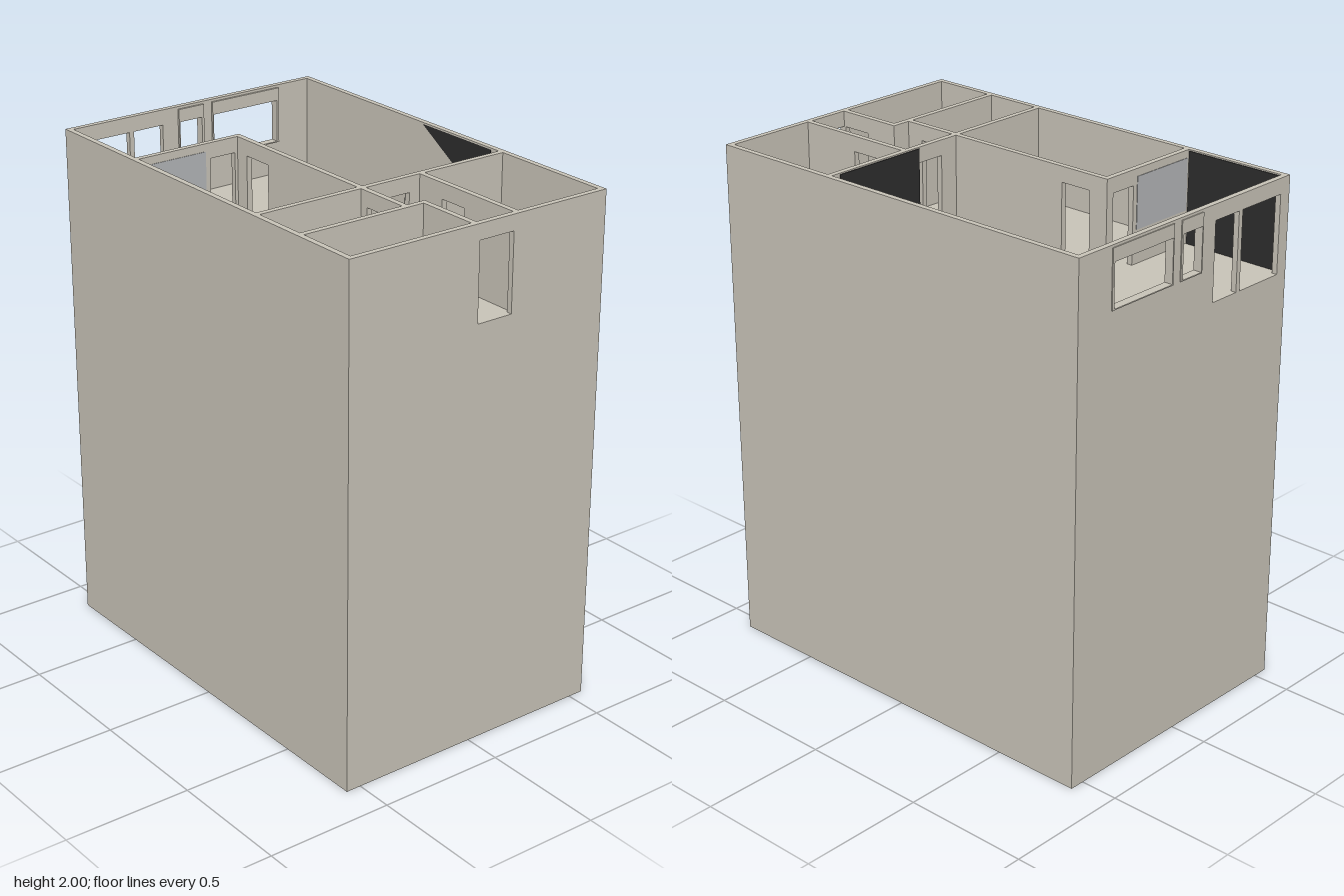
import * as THREE from 'three';

const FLOOR = 1.64, TOP = 2, HEAD = 1.94, SILL = 1.77, T = 0.022;

export function createModel() {
  const model = new THREE.Group();
  const stone = new THREE.MeshStandardMaterial({ color: 0xc9c4b8 });
  const dark = new THREE.MeshStandardMaterial({ color: 0x2d2d2d, side: THREE.DoubleSide });
  const grey = new THREE.MeshStandardMaterial({ color: 0xb4b6b8 });

  const add = (name, geometry, material) => {
    const mesh = new THREE.Mesh(geometry, material);
    mesh.name = name;
    model.add(mesh);
    return mesh;
  };

  // Upright slab along 'x' or 'z'; doors [a, b] notch its foot, windows [a, b, y0, y1] pierce it
  function wall(name, axis, from, to, near, { doors = [], windows = [], y0 = FLOOR, y1 = TOP, t = T, material = stone } = {}) {
    const shape = new THREE.Shape();
    shape.moveTo(from, y0);
    for (const [a, b] of doors) {
      shape.lineTo(a, y0);
      shape.lineTo(a, HEAD);
      shape.lineTo(b, HEAD);
      shape.lineTo(b, y0);
    }
    shape.lineTo(to, y0);
    shape.lineTo(to, y1);
    shape.lineTo(from, y1);
    shape.closePath();
    for (const [a, b, lo = SILL, hi = HEAD] of windows) {
      const hole = new THREE.Path();
      hole.moveTo(a, lo);
      hole.lineTo(a, hi);
      hole.lineTo(b, hi);
      hole.lineTo(b, lo);
      hole.closePath();
      shape.holes.push(hole);
    }
    const geometry = new THREE.ExtrudeGeometry(shape, { depth: t, bevelEnabled: false });
    if (axis === 'z') geometry.rotateY(-Math.PI / 2).translate(near + t, 0, 0);
    else geometry.translate(0, 0, near);
    return add(name, geometry, material);
  }

  // Solid block carrying the rooms
  add('base', new THREE.BoxGeometry(1.7, FLOOR, 1.12).translate(0, FLOOR / 2, 0), stone);

  // Outer walls
  wall('backWall', 'x', -0.85, 0.85, -0.56);
  wall('frontWall', 'x', -0.85, 0.85, 0.538);
  wall('rightViewWall', 'z', -0.538, 0.538, 0.828, { doors: [[-0.14, 0.01]] }).name = 'entranceWall';
  wall('windowWall', 'z', -0.538, 0.538, -0.85, {
    doors: [[0.145, 0.275], [0.295, 0.51]],
    windows: [[-0.385, -0.085], [-0.03, 0.07]],
  });

  // Slightly proud window surrounds
  for (const [a, b] of [[-0.395, -0.08], [-0.04, 0.075]]) {
    wall('windowFrame', 'z', a, b, -0.854, {
      windows: [[a + 0.01, b - 0.005, SILL + 0.004, HEAD]], y0: SILL, y1: 1.99, t: 0.034,
    });
  }

  // Partitions
  wall('livingRoomWall', 'z', -0.538, 0.538, 0.315, { doors: [[-0.107, 0.01]] });
  wall('bedroomBackWall', 'x', -0.415, 0.315, 0.086, { doors: [[-0.335, -0.205]] });
  wall('bedroomSideWall', 'z', 0.108, 0.538, -0.415, { doors: [[0.12, 0.23]] });
  wall('closetBackWall', 'x', 0.337, 0.56, 0.086, { doors: [[0.37, 0.49]] });
  wall('cornerRoomWall', 'x', 0.337, 0.828, -0.175, { doors: [[0.46, 0.58]] });
  wall('bathroomSideWall', 'z', 0.01, 0.538, 0.56);
  wall('bathroomBackWall', 'x', 0.582, 0.828, 0.01, { doors: [[0.7, 0.82]] });

  // Grey panel in the bedroom side wall
  wall('greyPanel', 'z', 0.25, 0.53, -0.417, { y0: SILL, y1: 1.97, t: 0.026, material: grey });

  // Dark facings of the living room, with a small chamfered corner
  wall('darkFrontPanel', 'x', -0.825, -0.418, 0.535, { y1: 1.995, t: 0.003, material: dark });
  wall('darkSidePanel', 'z', -0.5, -0.107, 0.312, { y1: 1.995, t: 0.003, material: dark });
  const corner = new THREE.PlaneGeometry(0.06, TOP - FLOOR);
  add('darkCornerPanel', corner.rotateY(-Math.PI / 4).translate(0.293, (TOP + FLOOR) / 2 - 0.003, -0.518), dark);
  const triangle = new THREE.Shape([
    new THREE.Vector2(-0.11, 1.995), new THREE.Vector2(0.275, 1.76), new THREE.Vector2(0.275, 1.995),
  ]);
  add('darkBackTriangle', new THREE.ShapeGeometry(triangle).translate(0, 0, -0.535), dark);

  return model;
}
